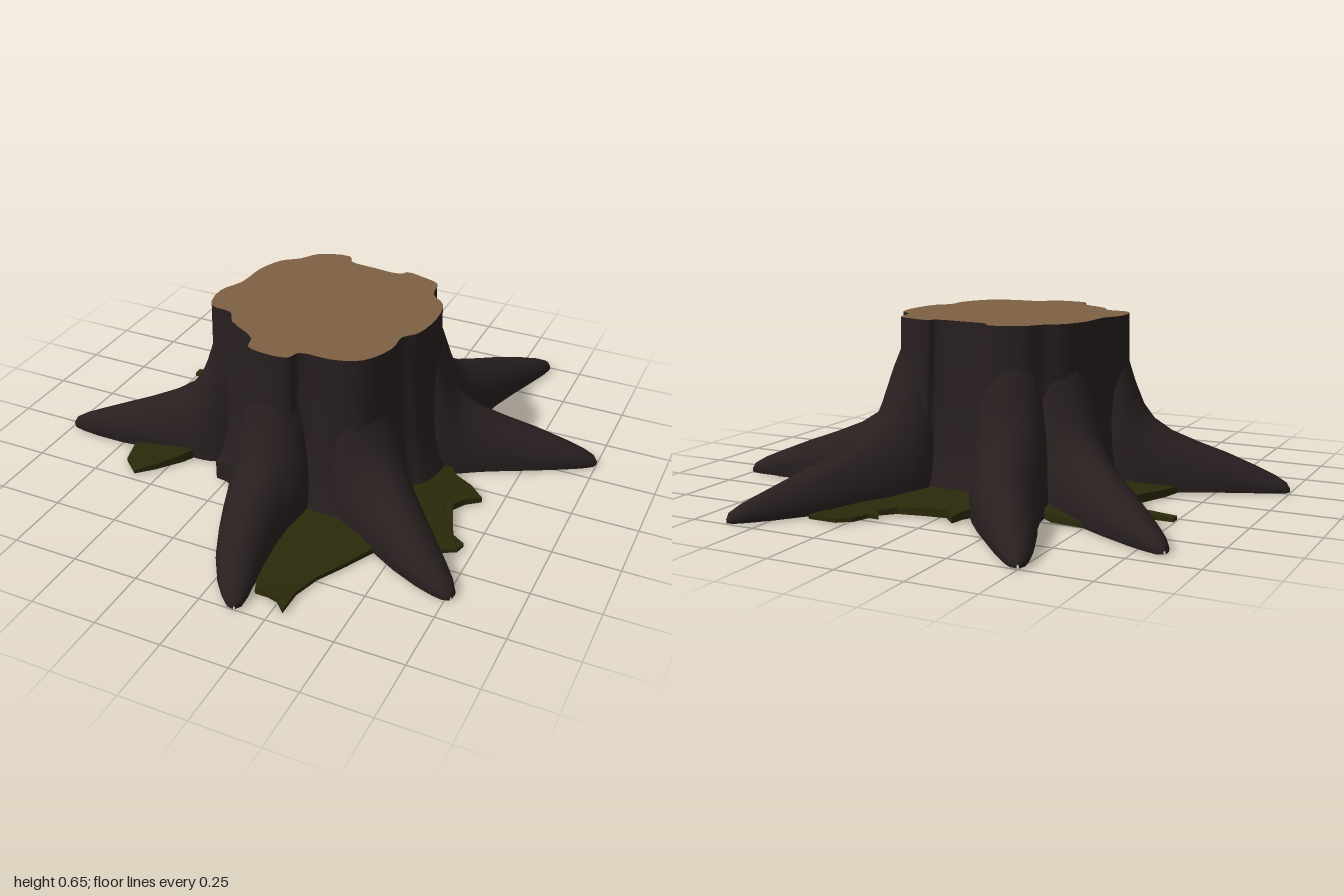
import * as THREE from 'three';

const GROUND = 0.02, TOP = 0.67, FLARE = 1.2;

// Sawn outline of the stump as [x, z], clockwise from above
const OUTLINE = [
  [-0.08, -0.4], [-0.055, -0.36], [0.05, -0.345], [0.16, -0.34], [0.18, -0.365], [0.25, -0.35], [0.32, -0.32],
  [0.34, -0.23], [0.4, -0.17], [0.42, -0.05], [0.4, 0.08], [0.36, 0.13], [0.36, 0.22], [0.3, 0.34],
  [0.2, 0.38], [0.08, 0.385], [0.06, 0.43], [-0.02, 0.44], [-0.1, 0.42], [-0.12, 0.36], [-0.24, 0.28],
  [-0.28, 0.22], [-0.37, 0.2], [-0.4, 0.08], [-0.36, -0.02], [-0.35, -0.15], [-0.31, -0.25],
  [-0.25, -0.3], [-0.2, -0.37],
];

// Root centre lines as [x, z] from trunk to tip, with a width factor
const ROOTS = [
  { path: [[-0.02, 0.36], [0, 0.6], [0.06, 0.83], [0.135, 1]], width: 0.97 },
  { path: [[0.25, 0.25], [0.41, 0.37], [0.6, 0.53], [0.77, 0.65]], width: 1 },
  { path: [[0.33, -0.12], [0.52, -0.2], [0.76, -0.28], [1, -0.35]], width: 0.97 },
  { path: [[0.27, -0.26], [0.37, -0.53], [0.48, -0.77], [0.61, -1]], width: 0.95 },
  { path: [[-0.14, -0.31], [-0.24, -0.57], [-0.38, -0.8], [-0.5, -1]], width: 0.95 },
  { path: [[-0.25, -0.18], [-0.44, -0.33], [-0.64, -0.5], [-0.85, -0.67]], width: 0.97 },
  { path: [[-0.32, 0.12], [-0.53, 0.16], [-0.77, 0.23], [-1, 0.27]], width: 0.92 },
];

// Root sections: [position along the path, height, half width]
const SECTIONS = [
  [0, 0.645, 0.13], [0.05, 0.6, 0.145], [0.1, 0.51, 0.153], [0.15, 0.4, 0.153], [0.2, 0.315, 0.148],
  [0.26, 0.26, 0.14], [0.36, 0.215, 0.125], [0.5, 0.175, 0.108], [0.66, 0.135, 0.09], [0.82, 0.09, 0.067],
  [0.92, 0.06, 0.047], [0.98, 0.035, 0.028], [1, 0.012, 0.004],
];

// Ragged low ground patches between the roots, as [x, z]
const MOSS = {
  frontMoss: [[0, 0.35], [0.08, 0.7], [0.16, 0.9], [0.21, 0.9], [0.25, 0.91], [0.29, 0.95], [0.29, 0.85],
    [0.32, 0.75], [0.38, 0.64], [0.45, 0.5], [0.3, 0.3]],
  leftMoss: [[0.3, 0.2], [0.38, -0.1], [0.5, -0.06], [0.55, 0], [0.62, 0.03], [0.68, 0.08], [0.63, 0.12],
    [0.6, 0.17], [0.62, 0.23], [0.66, 0.33], [0.71, 0.36], [0.7, 0.4], [0.63, 0.44], [0.5, 0.42]],
  rightMoss: [[-0.3, 0.15], [-0.3, -0.1], [-0.5, -0.24], [-0.56, -0.12], [-0.61, 0], [-0.65, 0.17], [-0.69, 0.3],
    [-0.66, 0.41], [-0.59, 0.47], [-0.53, 0.41], [-0.46, 0.32], [-0.4, 0.2]],
  backRightMoss: [[-0.3, -0.25], [-0.6, -0.45], [-0.57, -0.52], [-0.48, -0.51], [-0.38, -0.5], [-0.25, -0.4]],
  backMoss: [[-0.1, -0.3], [-0.15, -0.5], [-0.09, -0.6], [-0.08, -0.66], [-0.03, -0.61], [0.05, -0.62],
    [0.15, -0.64], [0.2, -0.69], [0.17, -0.73], [0.21, -0.73], [0.23, -0.79], [0.28, -0.83], [0.39, -0.83],
    [0.37, -0.72], [0.44, -0.66], [0.35, -0.3]],
  mossTwig: [[-0.48, -0.22], [-0.58, -0.33], [-0.66, -0.31], [-0.75, -0.31], [-0.75, -0.275], [-0.66, -0.27],
    [-0.58, -0.27]],
};
const BARK_PATCHES = {
  frontRightSpur: [[-0.15, 0.25], [-0.3, 0.2], [-0.28, 0.28], [-0.29, 0.36], [-0.2, 0.37], [-0.08, 0.4]],
  leftSpur: [[0.6, -0.28], [0.63, -0.37], [0.68, -0.39], [0.76, -0.375], [0.86, -0.38], [0.85, -0.3]],
  backSpur: [[0.3, -0.35], [0.46, -0.62], [0.48, -0.5], [0.5, -0.42], [0.44, -0.32]],
};

// Skin joining rings of equal length; rings run counter-clockwise seen from the advancing end
function loft(rings) {
  const n = rings[0].length, index = [];
  for (let i = 0; i < rings.length - 1; i++) {
    for (let j = 0; j < n; j++) {
      const k = (j + 1) % n, a = i * n + j, b = i * n + k;
      index.push(a, b, b + n, a, b + n, a + n);
    }
  }
  const geometry = new THREE.BufferGeometry();
  geometry.setAttribute('position', new THREE.Float32BufferAttribute(rings.flat(2), 3));
  geometry.setIndex(index);
  geometry.computeVertexNormals();
  return geometry;
}

function flatShape(points, sign) {
  return new THREE.Shape(points.map(([x, z]) => new THREE.Vector2(x, sign * z)));
}

// Flaring trunk with the lobed outline repeated at every level
function trunkGeometry(outline) {
  const levels = [[TOP, 1], [0.52, 1.005], [0.4, 1.02], [0.3, 1.04], [0.2, 1.07], [0.11, 1.12], [GROUND, FLARE]];
  return loft(levels.map(([y, s]) => outline.map(([x, z]) => [x * s, y, z * s])));
}

// Arched root with lengthwise ridges; its sides tuck under toward the tip
function rootGeometry({ path, width }, seed) {
  const curve = new THREE.CatmullRomCurve3(path.map(([x, z]) => new THREE.Vector3(x, 0, z)));
  const up = new THREE.Vector3(0, 1, 0);
  const rings = SECTIONS.map(([u, h, w]) => {
    const p = curve.getPointAt(u);
    const side = up.clone().cross(curve.getTangentAt(u)).normalize();
    const tuck = 0.5 * u, drop = Math.sin(tuck);
    const ring = [];
    for (let j = 0; j <= 14; j++) {
      const t = -tuck + (j / 14) * (Math.PI + 2 * tuck);
      const ridge = 1 + 0.04 * Math.sin(5 * t + seed * 2 + u * 4) * Math.sin(t);
      const s = Math.cos(t) * w * width * ridge;
      const y = GROUND + (h * (Math.sin(t) + drop)) / (1 + drop);
      ring.push([p.x + side.x * s, y, p.z + side.z * s]);
    }
    ring.push([...ring[14]], [...ring[0]]);
    return ring;
  });
  return loft(rings);
}

// Thin patch whose top rises toward the trunk
function patchGeometry(points, lift) {
  const geometry = new THREE.ExtrudeGeometry(flatShape(points, -1), { depth: 0.01, bevelEnabled: false });
  geometry.rotateX(-Math.PI / 2);
  const pos = geometry.attributes.position;
  for (let i = 0; i < pos.count; i++) {
    const r = Math.hypot(pos.getX(i), pos.getZ(i));
    const rise = pos.getY(i) > 0.005 ? lift + Math.max(0, 0.75 - r) * 0.1 : 0;
    pos.setY(i, GROUND + pos.getY(i) + rise);
  }
  geometry.computeVertexNormals();
  return geometry;
}

export function createModel() {
  const model = new THREE.Group();
  const material = (name, color) => Object.assign(new THREE.MeshStandardMaterial({ color }), { name });
  const bark = material('dark bark', 0x281f1f);
  const wood = material('cut wood', 0x7f6144);
  const moss = material('moss', 0x2b290a);

  const add = (name, geometry, mat) => {
    const mesh = new THREE.Mesh(geometry, mat);
    mesh.name = name;
    model.add(mesh);
    return mesh;
  };

  // Trunk and sawn top
  const curve = new THREE.CatmullRomCurve3(OUTLINE.map(([x, z]) => new THREE.Vector3(x, 0, z)), true);
  const outline = curve.getPoints(OUTLINE.length * 3).slice(0, -1).map((p) => [p.x, p.z]);
  add('trunk', trunkGeometry(outline), bark);
  add('cutTop', new THREE.ShapeGeometry(flatShape(outline, -1)).rotateX(-Math.PI / 2), wood).position.y = TOP;

  // Spreading roots
  ROOTS.forEach((root, i) => add(`root${i + 1}`, rootGeometry(root, i), bark));

  // Bark-coloured underside plates
  const underside = (name, points, y) => {
    add(name, new THREE.ShapeGeometry(flatShape(points, 1)).rotateX(Math.PI / 2), bark).position.y = y;
  };
  underside('trunkUnderside', outline.map(([x, z]) => [x * FLARE, z * FLARE]), GROUND - 0.002);

  // Moss and low bark spurs at the foot
  for (const [name, points] of Object.entries(MOSS)) {
    add(name, patchGeometry(points, 0.005), moss);
    underside(`${name}Underside`, points, GROUND - 0.004);
  }
  for (const [name, points] of Object.entries(BARK_PATCHES)) add(name, patchGeometry(points, 0.04), bark);

  return model;
}
